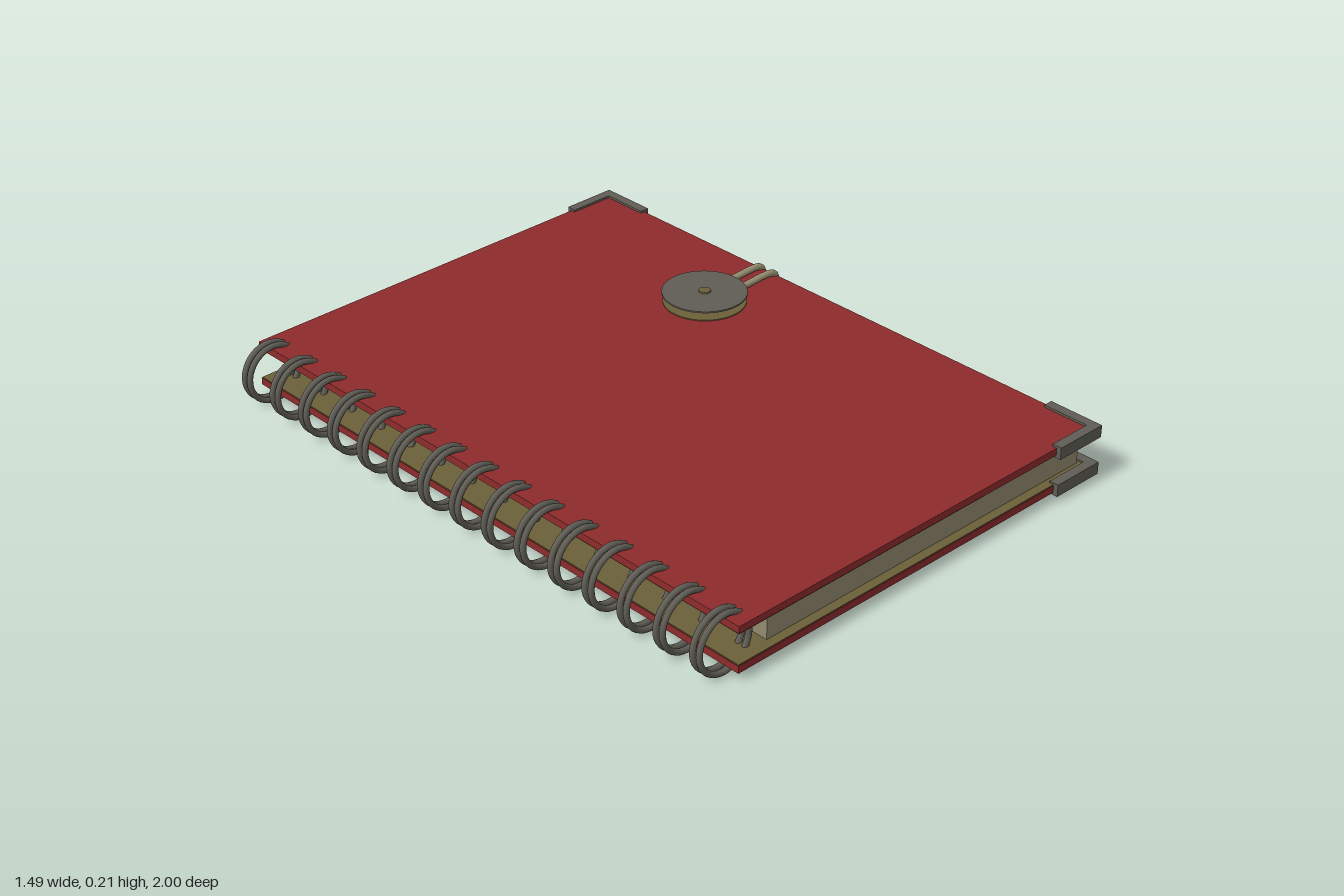
import * as THREE from 'three';

const mat = (name, color) => Object.assign(new THREE.MeshStandardMaterial({ color }), { name });

export function createModel() {
  const red = mat('cover red', 0x8e2b2c);
  const paper = mat('paper', 0x928b6e);
  const metal = mat('dark metal', 0x5f5d55);
  const olive = mat('olive lining', 0x6b6038);
  const cordMat = mat('cord', 0x989072);

  const model = new THREE.Group();
  model.name = 'notebook';
  const add = (name, geometry, material, x = 0, y = 0, z = 0, parent = model) => {
    const mesh = new THREE.Mesh(geometry, material);
    mesh.name = name;
    mesh.position.set(x, y, z);
    parent.add(mesh);
    return mesh;
  };
  // box given by its limits
  const box = (name, material, x0, x1, y0, y1, z0, z1) =>
    add(name, new THREE.BoxGeometry(x1 - x0, y1 - y0, z1 - z0), material,
      (x0 + x1) / 2, (y0 + y1) / 2, (z0 + z1) / 2);

  // covers with their inner linings, and the page block
  box('frontCover', red, -0.65, 0.73, 0.148, 0.17, -0.985, 0.985);
  box('frontLining', olive, -0.648, 0.728, 0.145, 0.148, -0.983, 0.983);
  box('backCover', red, -0.65, 0.73, 0.027, 0.049, -0.985, 0.985);
  box('backLining', olive, -0.648, 0.728, 0.049, 0.052, -0.983, 0.983);
  box('pages', paper, -0.52, 0.705, 0.052, 0.145, -0.955, 0.955);

  // L-shaped corner guards on both covers
  const corner = new THREE.Shape([
    [0.57, 0.97], [0.715, 0.97], [0.715, 0.82], [0.745, 0.82], [0.745, 1], [0.57, 1],
  ].map(([x, y]) => new THREE.Vector2(x, y)));
  const flipped = new THREE.Shape(corner.getPoints().map((p) => new THREE.Vector2(p.x, -p.y)));
  for (const y of [0.02, 0.139]) {
    for (const shape of [corner, flipped]) {
      const geo = new THREE.ExtrudeGeometry(shape, { depth: 0.038, bevelEnabled: false });
      geo.rotateX(-Math.PI / 2);
      add('cornerGuard', geo, metal, 0, y, 0);
    }
  }

  // twin-wire binding
  const ring = new THREE.TorusGeometry(0.087, 0.009, 10, 40);
  const binding = new THREE.Group();
  binding.name = 'binding';
  model.add(binding);
  for (let i = 0; i < 15; i++) {
    for (const side of [-1, 1]) {
      add('ring', ring, metal, -0.651, 0.096, -0.929 + i * 0.1323 + side * 0.012, binding);
    }
  }

  // button clasp: washer on the cover, post and disc
  const bx = 0.46, bz = -0.273;
  add('washer', new THREE.CylinderGeometry(0.125, 0.125, 0.004, 48), olive, bx, 0.171, bz);
  add('post', new THREE.CylinderGeometry(0.018, 0.027, 0.037, 24), olive, bx, 0.1885, bz);
  add('buttonDisc', new THREE.CylinderGeometry(0.128, 0.128, 0.005, 48), metal, bx, 0.2, bz);

  // cord looping round the post and down over the page edge
  const half = [[0.703, 0.055, 0.03], [0.715, 0.1, 0.03], [0.733, 0.162, 0.028],
    [0.718, 0.179, 0.028], [0.6, 0.18, 0.028], [0.48, 0.18, 0.036], [0.435, 0.18, 0.026]];
  const points = [
    ...half.map(([x, y, z]) => new THREE.Vector3(x, y, bz + z)),
    new THREE.Vector3(0.422, 0.18, bz),
    ...half.slice().reverse().map(([x, y, z]) => new THREE.Vector3(x, y, bz - z)),
  ];
  add('cord', new THREE.TubeGeometry(new THREE.CatmullRomCurve3(points), 120, 0.011, 10), cordMat);

  return model;
}
